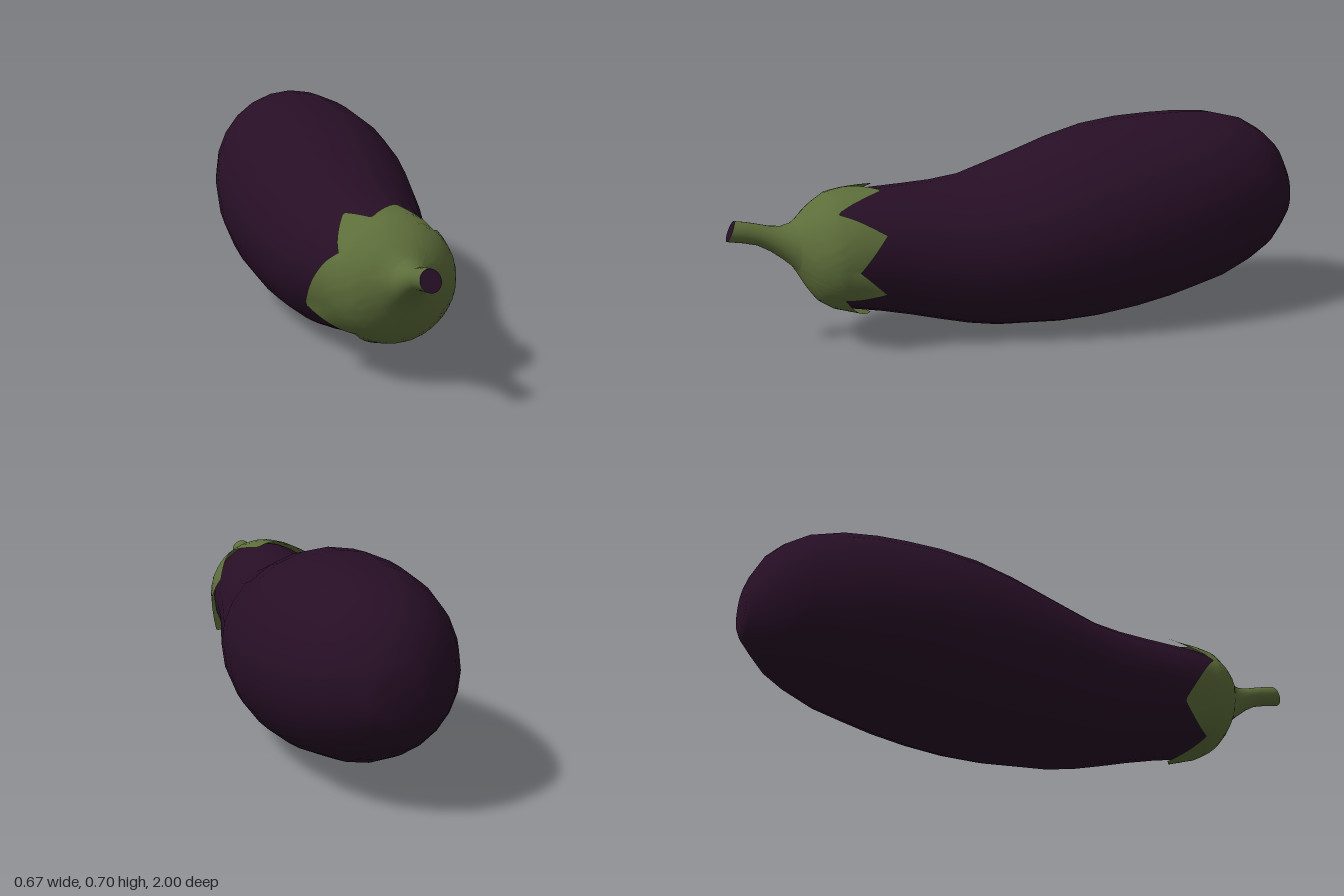
import * as THREE from 'three';

// Stations along the fruit: [z, centre y, half width, half height]
const BODY = [
  [0.75, 0.335, 0.10, 0.10], [0.71, 0.325, 0.153, 0.153], [0.66, 0.325, 0.186, 0.184],
  [0.6, 0.32, 0.197, 0.198], [0.5, 0.313, 0.204, 0.21], [0.4, 0.303, 0.219, 0.223],
  [0.3, 0.292, 0.238, 0.238], [0.2, 0.286, 0.26, 0.256], [0.1, 0.294, 0.281, 0.28],
  [0, 0.308, 0.302, 0.298], [-0.12, 0.326, 0.319, 0.322], [-0.25, 0.346, 0.332, 0.337],
  [-0.38, 0.363, 0.335, 0.337], [-0.5, 0.377, 0.327, 0.328], [-0.6, 0.39, 0.312, 0.316],
  [-0.71, 0.4, 0.288, 0.298], [-0.82, 0.41, 0.25, 0.26], [-0.89, 0.41, 0.213, 0.218],
  [-0.945, 0.41, 0.155, 0.167], [-0.985, 0.393, 0.1, 0.11], [-1, 0.385, 0.07, 0.075], [-1, 0.385, 0, 0],
];
const CALYX = [
  [0.81, 0.36, 0.05, 0.05], [0.785, 0.355, 0.072, 0.075], [0.765, 0.342, 0.095, 0.1],
  [0.74, 0.333, 0.135, 0.135], [0.71, 0.325, 0.166, 0.166], [0.66, 0.325, 0.197, 0.196],
  [0.6, 0.322, 0.207, 0.208], [0.5, 0.313, 0.212, 0.218], [0.4, 0.303, 0.226, 0.23],
];
const STEM = [
  [0.985, 0.42, 0.033, 0.033], [0.94, 0.412, 0.034, 0.034], [0.9, 0.402, 0.036, 0.036],
  [0.86, 0.385, 0.042, 0.042], [0.82, 0.367, 0.052, 0.055], [0.79, 0.357, 0.07, 0.072], [0.768, 0.345, 0.088, 0.092],
];

// Calyx rim: [angle in degrees, z of rim, outward curl]; tips alternate with notches
const RIM = [
  [-42, 0.64, 0], [-24, 0.515, 0.018], [-6, 0.6, 0], [27, 0.505, 0.003], [52, 0.655, 0], [76, 0.49, 0.004],
  [107, 0.605, 0], [121, 0.48, 0.012], [150, 0.635, 0], [200, 0.48, 0.04], [235, 0.625, 0], [267, 0.525, 0.012],
  [318, 0.64, 0],
];

// Linear lookup in a table whose first column is the key
function sample(table, key) {
  const up = table[0][0] < table[table.length - 1][0];
  let i = 1;
  while (i < table.length - 1 && (up ? table[i][0] < key : table[i][0] > key)) i++;
  const a = table[i - 1], b = table[i];
  const t = (key - a[0]) / (b[0] - a[0]);
  return a.map((v, k) => v + (b[k] - v) * t);
}

// Closed rings joined from front to back
function loft(rows, sides, point) {
  const positions = [], index = [];
  for (let i = 0; i < rows; i++)
    for (let j = 0; j < sides; j++) positions.push(...point(i, (j / sides) * Math.PI * 2));
  for (let i = 0; i < rows - 1; i++)
    for (let j = 0; j < sides; j++) {
      const a = i * sides + j, b = i * sides + ((j + 1) % sides);
      index.push(a, a + sides, b + sides, a, b + sides, b);
    }
  const geometry = new THREE.BufferGeometry();
  geometry.setAttribute('position', new THREE.Float32BufferAttribute(positions, 3));
  geometry.setIndex(index);
  geometry.computeVertexNormals();
  return geometry;
}

const onRing = ([z, cy, rx, ry], a, extra = 0) =>
  [Math.cos(a) * (rx + extra), cy + Math.sin(a) * (ry + extra), z];

export function createModel() {
  const skin = new THREE.MeshStandardMaterial({ color: 0x270f26 });
  skin.name = 'aubergine purple';
  const green = new THREE.MeshStandardMaterial({ color: 0x5d6d3a, side: THREE.DoubleSide });
  green.name = 'leaf green';

  const group = new THREE.Group();
  group.name = 'eggplant';
  const add = (name, geometry, material) => {
    const mesh = new THREE.Mesh(geometry, material);
    mesh.name = name;
    group.add(mesh);
  };

  // Fruit
  add('fruit', loft(BODY.length, 24, (i, a) => onRing(BODY[i], a)), skin);

  // Leafy cap with pointed lobes, the tips curling away from the skin
  const rows = 14;
  add('calyx', loft(rows, 120, (i, a) => {
    let degrees = THREE.MathUtils.radToDeg(a);
    if (degrees > 318) degrees -= 360;
    const [, rim, curl] = sample(RIM, degrees);
    const t = i / (rows - 1);
    return onRing(sample(CALYX, 0.81 + (rim - 0.81) * t), a, curl * t ** 4);
  }), green);

  // Stem, its cut end slanting back at the top
  const stemPoint = (i, a, scale = 1) => {
    const [z, cy, rx, ry] = STEM[i];
    const slant = i < 2 ? 0.45 / (i + 1) : 0;
    const y = Math.sin(a) * ry * scale;
    return [Math.cos(a) * rx * scale + 0.004, cy + y, z - y * slant];
  };
  add('stem', loft(STEM.length, 24, (i, a) => stemPoint(i, a)), green);
  add('stemCut', loft(2, 24, (i, a) => stemPoint(0, a, i)), skin);

  return group;
}
